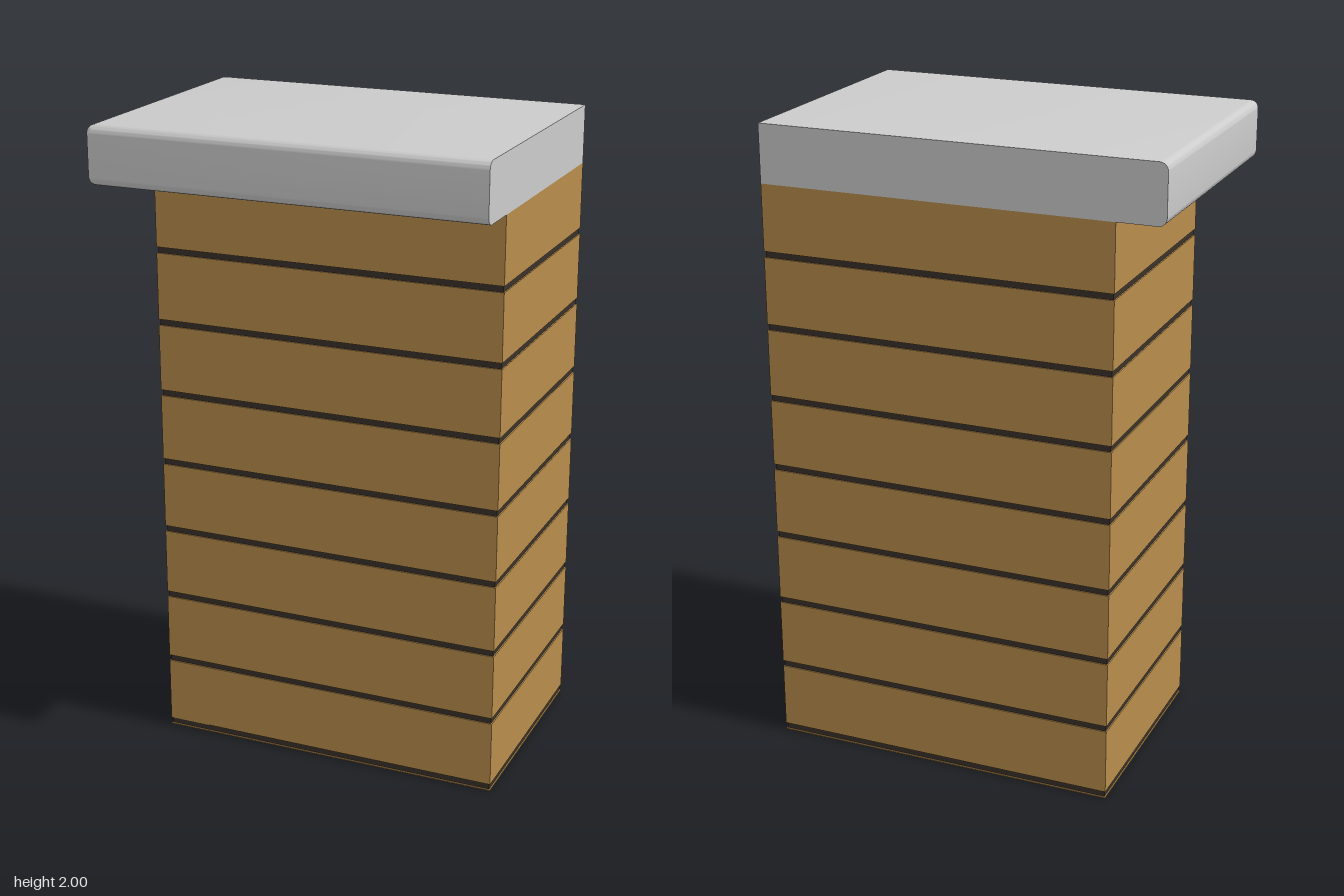
import * as THREE from 'three';
import { RoundedBoxGeometry } from 'three/addons/geometries/RoundedBoxGeometry.js';
import { toCreasedNormals } from 'three/addons/utils/BufferGeometryUtils.js';

const RIGHT = 0.625, BACK = -0.44; // flush planes shared by cabinet and top
const LEFT = -0.48, FRONT = 0.29;

export function createModel() {
  const model = new THREE.Group();
  const wood = new THREE.MeshStandardMaterial({ color: 0xb88e4c });
  const dark = new THREE.MeshStandardMaterial({ color: 0x3a312a });
  const stone = new THREE.MeshStandardMaterial({ color: 0xcccccc });

  // Cabinet layer between two heights, optionally set in from the outer faces
  function layer(name, y0, y1, inset, material) {
    const geo = new THREE.BoxGeometry(RIGHT - LEFT - 2 * inset, y1 - y0, FRONT - BACK - 2 * inset);
    const mesh = new THREE.Mesh(geo, material);
    mesh.position.set((LEFT + RIGHT) / 2, (y0 + y1) / 2, (FRONT + BACK) / 2);
    mesh.name = name;
    model.add(mesh);
  }

  // Base plate, then alternating dark grooves and wooden boards
  layer('basePlate', 0, 0.004, 0, wood);
  const pitch = 0.2273, groove = 0.019;
  for (let i = 0; i < 8; i++) {
    const y = 0.004 + i * pitch;
    layer('groove', y, y + groove, 0.004, dark);
    layer('board', y + groove, i < 7 ? y + pitch : 1.82, 0, wood);
  }

  // Top slab: rounded on the front and left, cut flat on the right and back
  const r = 0.025, w = 1.252, h = 0.18, d = 0.88;
  const slab = new RoundedBoxGeometry(w + r, h, d + r, 4, r);
  slab.translate(RIGHT + r - (w + r) / 2, 2 - h / 2, BACK - r + (d + r) / 2);
  const p = slab.attributes.position;
  for (let i = 0; i < p.count; i++) {
    p.setX(i, Math.min(p.getX(i), RIGHT));
    p.setZ(i, Math.max(p.getZ(i), BACK));
  }
  const top = new THREE.Mesh(toCreasedNormals(slab, 0.6), stone);
  top.name = 'countertop';
  model.add(top);

  return model;
}
